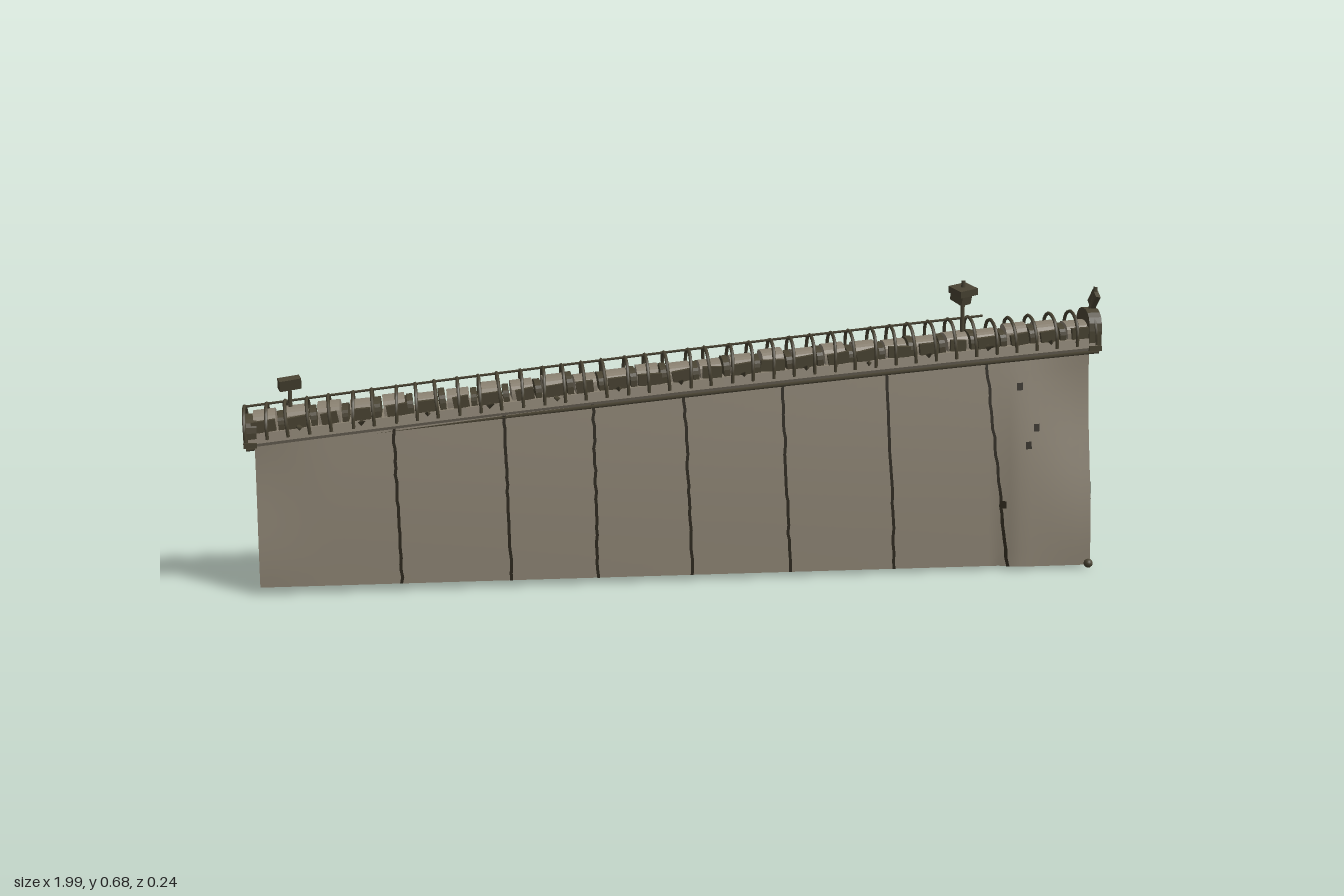
import * as THREE from 'three';

const mat = (name, color) => Object.assign(new THREE.MeshStandardMaterial({ color }), { name });
const { lerp, smoothstep } = THREE.MathUtils;

// Wall outline: sloping top, nearly level foot, half width at height fraction t
const topY = x => 0.435 + 0.089 * x - 0.008 * x * x;
const footY = x => 0.013 - 0.006 * x;
function halfWidth(x, t) {
  const base = lerp(0.076, 0.092, Math.min(1, (x + 0.97) / 1.72)) + 0.014 * smoothstep(x, 0.75, 0.79);
  const crest = lerp(0.05, 0.035, (x + 0.97) / 1.94);
  const curved = (1 + Math.cos(Math.PI * t)) / 2;
  const bulged = 1 - t + 0.1 * Math.sin(Math.PI * t);
  return lerp(crest, base, lerp(bulged, curved, smoothstep(Math.abs(x), 0.8, 0.97)));
}
const wallPoint = (x, t, side, off = 0) =>
  [x, lerp(footY(x), topY(x), t), side * (halfWidth(x, t) + off)];

// Surface from a rule f(u, v)
function sheet(f, nu, nv) {
  const pos = [], idx = [];
  for (let i = 0; i <= nu; i++) for (let j = 0; j <= nv; j++) pos.push(...f(i / nu, j / nv));
  for (let i = 0; i < nu; i++) for (let j = 0; j < nv; j++) {
    const a = i * (nv + 1) + j, b = a + nv + 1;
    idx.push(a, b, b + 1, a, b + 1, a + 1);
  }
  const g = new THREE.BufferGeometry();
  g.setAttribute('position', new THREE.Float32BufferAttribute(pos, 3));
  g.setIndex(idx);
  g.computeVertexNormals();
  return g;
}

// Round-shouldered block lying along x
function dome(w, h, len) {
  const s = new THREE.Shape();
  s.moveTo(-w, 0);
  s.lineTo(w, 0);
  s.lineTo(w, h * 0.45);
  s.bezierCurveTo(w, h * 0.85, w * 0.6, h, 0, h);
  s.bezierCurveTo(-w * 0.6, h, -w, h * 0.85, -w, h * 0.45);
  return new THREE.ExtrudeGeometry(s, { depth: len, bevelEnabled: false, curveSegments: 5 })
    .translate(0, 0, -len / 2).rotateY(Math.PI / 2);
}

export function createModel() {
  const root = new THREE.Group();
  const stone = mat('stone', 0x8b8272);
  const metal = mat('darkMetal', 0x4a4433);
  const endGrey = mat('endGrey', 0x4e4e50);
  const crack = mat('crack', 0x2b261b);
  const under = mat('underside', 0x3d3626);
  crack.side = THREE.DoubleSide;
  let seed = 7;
  const rnd = () => (seed = (seed * 16807) % 2147483647) / 2147483647 - 0.5;
  const add = (name, geo, m, p = [0, 0, 0], r = [0, 0, 0], parent = root) => {
    const mesh = new THREE.Mesh(geo, m);
    mesh.name = name;
    mesh.position.set(...p);
    mesh.rotation.set(...r);
    parent.add(mesh);
    return mesh;
  };
  const group = name => {
    const g = new THREE.Group();
    g.name = name;
    root.add(g);
    return g;
  };
  const tube = (pts, r, n, sides = 5) => new THREE.TubeGeometry(
    new THREE.CatmullRomCurve3(pts.map(p => new THREE.Vector3(...p))), n, r, sides);

  // Wall faces, ends and underside
  const E = 0.97, cz = -0.006;
  for (const s of [1, -1]) {
    add(s > 0 ? 'wallFront' : 'wallBack',
      sheet((u, t) => wallPoint(s * lerp(-E, E, u), t, s), 80, 14), stone);
    add(s > 0 ? 'highEnd' : 'lowEnd', sheet((u, t) => {
      const [x, y, z] = wallPoint(s * E, t, s);
      return [x, y, z * (1 - 2 * u)];
    }, 1, 14), endGrey);
  }
  add('underside', sheet((u, v) => {
    const [x, y, z] = wallPoint(lerp(-E, E, u), 0, 1);
    return [x, y, lerp(-z, z, v)];
  }, 80, 1), under);

  // Cracked seams between the wall panels, foot x and crest x
  const seams = group('panelSeams');
  const seamX = [[-0.65, -0.66], [-0.4, -0.41], [-0.2, -0.205], [0.02, 0.005], [0.25, 0.235], [0.5, 0.48], [0.77, 0.72]];
  for (const [a, b] of seamX) for (const s of [1, -1]) {
    const wob = Array.from({ length: 25 }, () => 0.004 * rnd());
    add('seam', sheet((u, t) => wallPoint(
      lerp(a, b, t) + wob[Math.round(t * 24)] + (u - 0.5) * 0.007, t, s, 0.0015), 1, 24), crack, undefined, undefined, seams);
  }

  // Small chips on the high panel
  for (const [x, t] of [[0.8, 0.86], [0.84, 0.66], [0.82, 0.58], [0.76, 0.3]])
    add('chip', sheet((u, v) => wallPoint(x + (u - 0.5) * 0.014, t + (v - 0.5) * 0.035, 1, 0.002), 1, 1), crack);

  // Coping band along the crest, with a dark line below it
  const section = [[-0.048, -0.006], [0.048, -0.006], [0.054, 0.006], [0.05, 0.028], [-0.05, 0.028], [-0.054, 0.006], [-0.048, -0.006]];
  const coping = sheet((u, v) => {
    const x = lerp(-0.985, 0.985, u), [z, y] = section[Math.round(v * 6)];
    return [x, topY(x) + y, z + cz];
  }, 40, 6).toNonIndexed();
  coping.computeVertexNormals();
  add('coping', coping, stone);
  const along = (x0, x1, dy, z) => Array.from({ length: 9 }, (_, i) => {
    const x = lerp(x0, x1, i / 8);
    return [x, topY(x) + dy, z];
  });
  for (const s of [1, -1]) add('copingLine', tube(along(-0.99, 0.99, -0.005, cz + s * 0.05), 0.0045, 40), metal);

  // Barrel blocks on the coping with dark saddles and side plates
  const barrels = group('barrelBlocks');
  const N = 27;
  for (let i = 0; i < N; i++) {
    const x = -0.945 + (i * 1.89) / (N - 1), y = topY(x) + 0.022, tilt = [0, 0.1 * rnd(), 0.088];
    add('block', dome(0.036 + 0.006 * rnd(), 0.046 + 0.01 * rnd(), 0.05), stone, [x, y, cz], tilt, barrels);
    if (i < N - 1) add('saddle', dome(0.042, 0.044 + 0.012 * rnd(), 0.014),
      metal, [x + 0.036, topY(x + 0.036) + 0.022, cz], tilt, barrels);
    for (const s of [1, -1]) {
      add('sidePlate', new THREE.BoxGeometry(0.046 + 0.02 * rnd(), 0.026, 0.014), metal,
        [x + 0.01 * rnd(), y + 0.019, cz + s * 0.04], [0, 0, 0.088 + 0.25 * rnd()], barrels);
      if (i % 2) add('spike', new THREE.ConeGeometry(0.008, 0.024, 4), metal,
        [x, y + 0.008 + 0.014 * rnd(), cz + s * 0.058], [s * 1.2, 0, rnd()], barrels);
    }
  }

  // End collars
  for (const s of [1, -1]) {
    const x = s * 0.98, h = s > 0 ? 0.088 : 0.06;
    add('endCollar', dome(0.052, h, 0.03), metal, [x, topY(x) + 0.004, cz]);
    add('endLip', new THREE.BoxGeometry(0.03, 0.012, 0.116), metal, [x, topY(x) + 0.004, cz]);
  }

  // Wire hoops over the blocks and the thin rail that joins them
  const hoops = group('hoops');
  const H = 42;
  for (let i = 0; i < H; i++) {
    const x = -0.99 + (i * 1.975) / (H - 1), y = topY(x), lean = 0.012 * rnd() - 0.004;
    const top = lerp(0.084, 0.1, i / H) - (x > 0.74 ? 0.012 : 0);
    const arch = [[0.052, 0.012], [0.054, 0.045], [0.036, top - 0.012], [0, top], [-0.036, top - 0.012], [-0.054, 0.045], [-0.052, 0.012]];
    add('hoop', tube(arch.map(([z, h]) => [x + lean * h / top, y + h, cz + z]), 0.0042, 18), metal, undefined, undefined, hoops);
  }
  add('topRail', tube(Array.from({ length: 9 }, (_, i) => {
    const x = lerp(-0.995, 0.72, i / 8);
    return [x, topY(x) + lerp(0.084, 0.1, i / 9), cz];
  }), 0.003, 30), metal);

  // Sign posts with tilted plates
  const post = (x, y0, y1) => add('signPost', new THREE.CylinderGeometry(0.005, 0.005, y1 - y0, 6), metal, [x, (y0 + y1) / 2, 0]);
  const plate = (p, size, r) => add('signPlate', new THREE.BoxGeometry(...size), metal, p, r);
  post(-0.89, 0.37, 0.48);
  plate([-0.89, 0.475, 0], [0.05, 0.026, 0.02], [0.3, 0.3, 0]);
  post(0.67, 0.5, 0.678);
  plate([0.67, 0.655, 0], [0.046, 0.016, 0.056], [0.12, 0.3, 0.1]);
  plate([0.668, 0.637, -0.01], [0.03, 0.022, 0.04], [0.35, 0.5, -0.1]);
  add('leaningPost', new THREE.CylinderGeometry(0.005, 0.006, 0.08, 6), metal, [0.983, 0.617, 0], [0, 0, -0.2]);
  plate([0.988, 0.628, 0], [0.012, 0.034, 0.03], [0.5, 0, -0.2]);

  // Foot knobs and stains on the high end
  for (const s of [1, -1]) {
    add('footKnob', new THREE.IcosahedronGeometry(0.011, 1), metal, [0.965, 0.0115, s * 0.109]);
    add('stain', sheet((u, v) => {
      const t = lerp(0.31, 0.39, v), [x, y, z] = wallPoint(E, t, s);
      return [x + 0.001, y, z - s * u * 0.024 * Math.sin(Math.PI * v)];
    }, 1, 10), crack).material = metalDouble();
  }
  function metalDouble() {
    metal.side = THREE.DoubleSide;
    return metal;
  }
  add('cornerStain', sheet((u, v) => {
    const [x, y, z] = wallPoint(E, 0.09 * v, -1);
    return [x + 0.001, y, z + u * 0.04 * (1 - v)];
  }, 1, 4), metal);
  return root;
}
